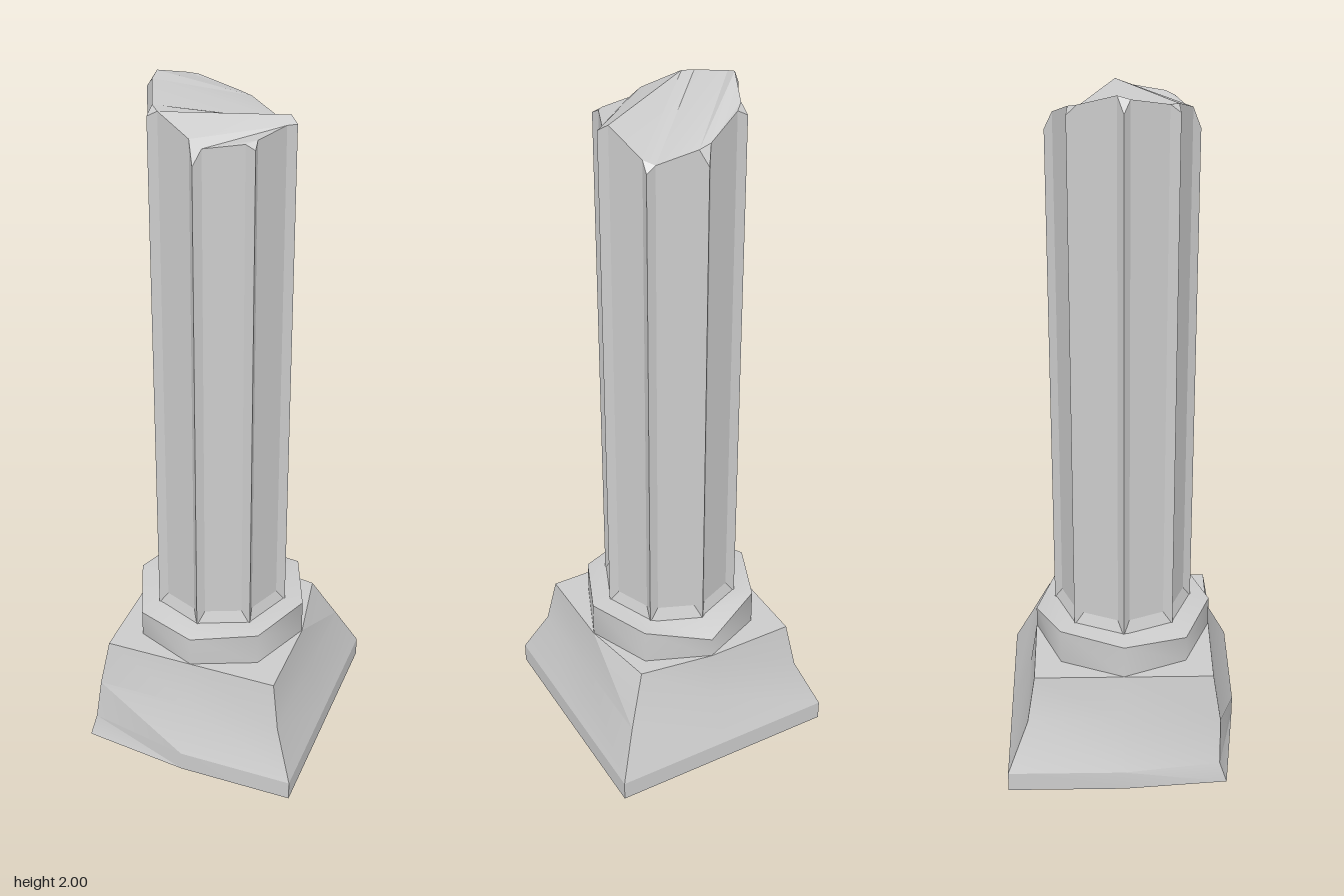
import * as THREE from 'three';
import { toCreasedNormals } from 'three/addons/utils/BufferGeometryUtils.js';

const material = new THREE.MeshStandardMaterial({ color: 0xcccccc });
const rad = THREE.MathUtils.degToRad;
const polar = (deg, r, y) => [r * Math.cos(rad(deg)), y, r * Math.sin(rad(deg))];

// Joins equal-length rings (bottom to top, running from +x towards +z) into a skin.
// caps(n, rings) may add more triangles, given as lists of points.
function loft(name, rings, crease, extra = []) {
  const pos = [];
  const tri = (a, b, c) => {
    const ab = new THREE.Vector3(...b).sub(new THREE.Vector3(...a));
    const ac = new THREE.Vector3(...c).sub(new THREE.Vector3(...a));
    if (ab.cross(ac).length() > 1e-8) pos.push(...a, ...b, ...c);
  };
  for (let r = 0; r < rings.length - 1; r++) {
    const lo = rings[r], up = rings[r + 1], n = lo.length;
    for (let i = 0; i < n; i++) {
      const j = (i + 1) % n;
      tri(lo[i], up[i], up[j]);
      tri(lo[i], up[j], lo[j]);
    }
  }
  extra.forEach((t) => tri(...t));
  const geometry = new THREE.BufferGeometry();
  geometry.setAttribute('position', new THREE.Float32BufferAttribute(pos, 3));
  const mesh = new THREE.Mesh(toCreasedNormals(geometry, crease), material);
  mesh.name = name;
  return mesh;
}

// Fan over a ring, facing up or down
function fan(ring, up) {
  const c = [0, ring[0][1], 0];
  return ring.map((p, i) => {
    const q = ring[(i + 1) % ring.length];
    return up ? [c, q, p] : [c, p, q];
  });
}

// Flared square plinth with two chipped corners
function makePlinth() {
  const square = (h, y) =>
    [[1, 0], [1, 1], [0, 1], [-1, 1], [-1, 0], [-1, -1], [0, -1], [1, -1]]
      .map(([x, z]) => [x * h, y, z * h]);
  const rings = [square(0.333, 0), square(0.333, 0.06), square(0.275, 0.2), square(0.253, 0.34)];
  rings[0][3] = [-0.307, 0, 0.296];
  rings[1][3] = [-0.295, 0.06, 0.275];
  rings[3][7] = [0.213, 0.34, -0.22];
  return loft('plinth', rings, 0.35, [...fan(rings[0], false), ...fan(rings[3], true)]);
}

// Octagonal collar with a worn upper rim
function makeCollar() {
  const rimHeights = [0.445, 0.44, 0.43, 0.42, 0.44, 0.445, 0.4, 0.445];
  const ring = (r, height) => rimHeights.map((h, k) => polar(k * 45, r, height ?? h));
  const inner = ring(0.19, 0.447);
  return loft('collar', [ring(0.252, 0.34), ring(0.252), inner], 0.82, fan(inner, true));
}

// Fluted shaft: eight pointed ribs, flutes running out at the foot, broken top
function makeShaft() {
  const R = 0.197, r = 0.176, off = 5.3;
  const tipHeights = [1.92, 1.9, 1.86, 1.945, 1.96, 1.94, 1.86, 1.85];
  // Break heights across the 45 degree axis: [angle from axis, +angle side, -angle side]
  const breaks = [
    [5.3, 1.91, 1.915], [39.7, 1.9, 1.92], [50.3, 1.92, 1.935], [84.7, 1.96, 1.875],
    [95.3, 1.965, 1.865], [129.7, 1.99, 1.9], [140.3, 2.0, 1.91], [174.7, 1.965, 1.955],
  ];
  const sideA = breaks.map(([t, a]) => polar(45 + t, r, a));
  const sideB = breaks.map(([t, , b]) => polar(45 - t, r, b));
  const rim = [...sideB, ...sideA];
  const nearest = (deg) => {
    const [x, , z] = polar(deg, r, 0);
    return rim.find((p) => Math.hypot(p[0] - x, p[2] - z) < 0.005);
  };

  const foot = [], start = [], top = [];
  for (let k = 0; k < 8; k++) {
    for (const side of [-1, 0, 1]) {
      const deg = k * 45 + side * off;
      foot.push(polar(k * 45, R, 0.44));
      start.push(side ? polar(deg, r, 0.48) : polar(deg, R, 0.48));
      top.push(side ? nearest(deg) : polar(deg, R, tipHeights[k]));
    }
  }

  // Broken face in parallel strips, plus the small facet on each rib tip
  const cap = [];
  for (let i = 0; i < breaks.length - 1; i++) {
    cap.push([sideB[i], sideA[i], sideA[i + 1]].reverse());
    cap.push([sideB[i], sideA[i + 1], sideB[i + 1]].reverse());
  }
  for (let k = 0; k < 8; k++) cap.push([top[3 * k], top[3 * k], top[3 * k]].map((p, i) => top[3 * k + [0, 2, 1][i]]));
  // Face every cap triangle upwards
  const upward = cap.map(([a, b, c]) => {
    const ny = (b[2] - a[2]) * (c[0] - a[0]) - (b[0] - a[0]) * (c[2] - a[2]);
    return ny > 0 ? [a, b, c] : [a, c, b];
  });
  return loft('shaft', [foot, start, top], 0.2, upward);
}

export function createModel() {
  const group = new THREE.Group();
  group.name = 'brokenColumn';
  group.add(makePlinth(), makeCollar(), makeShaft());
  return group;
}
